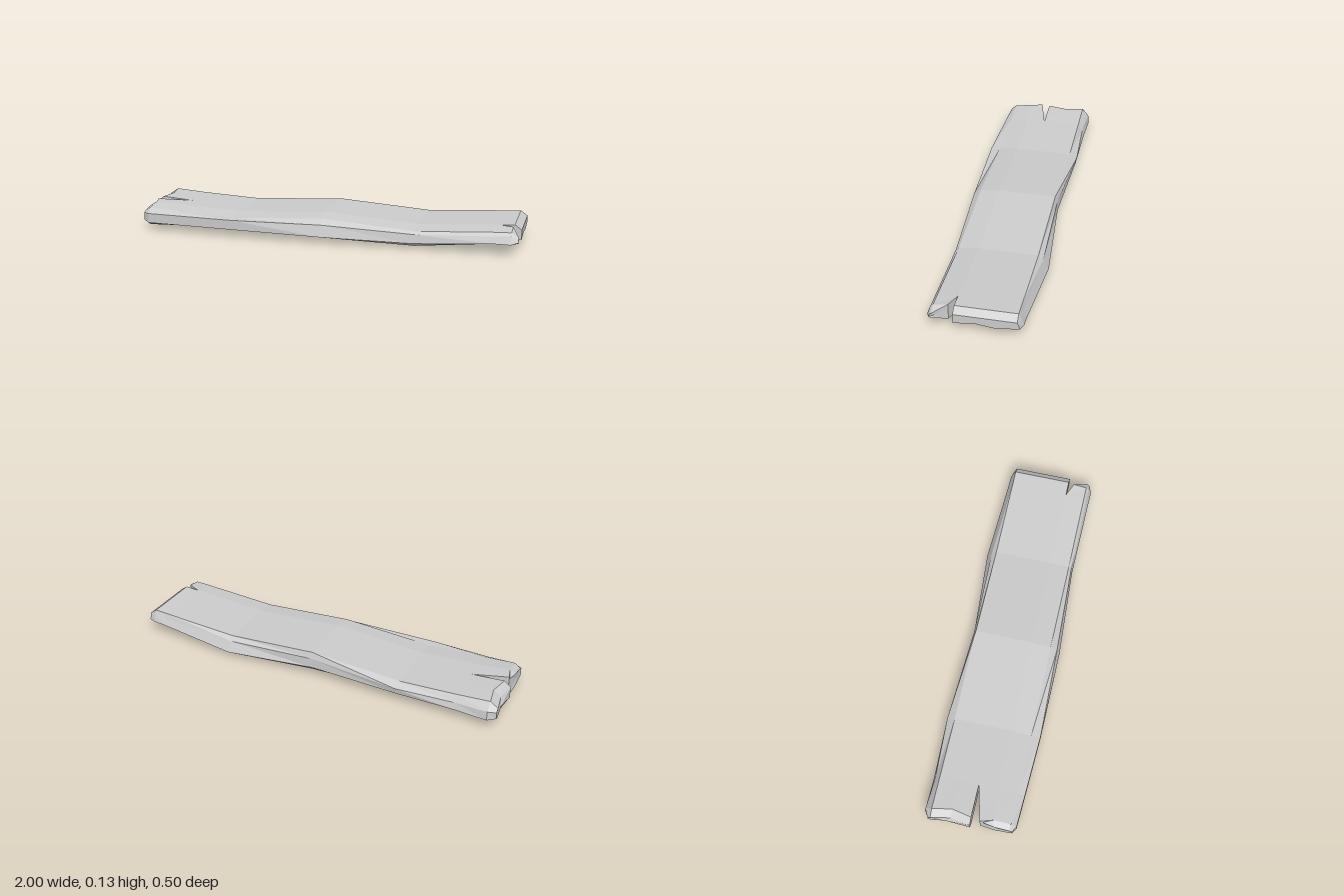
import * as THREE from 'three';

const material = new THREE.MeshStandardMaterial({ color: 0xcccccc, flatShading: true });

// One cross-section at x: columns [z], top and bottom heights, then optional
// side points [z, y] (upper, lower) for the front and back edges.
function ring(x, top, bot, cols, front, back, dx = []) {
  const at = (i) => x + (dx[i] || 0);
  const last = cols.length - 1;
  const topY = (z) => top - (z > 0.15 ? 0.012 : 0);
  const botY = (z) => bot + (Math.abs(z) > 0.15 || Math.abs(z) < 0.04 ? 0.013 : 0);
  const pts = cols.map((z, i) => [at(i), topY(z), z]);
  (front || []).forEach(([z, y]) => pts.push([at(last), y, z]));
  for (let i = last; i >= 0; i--) pts.push([at(i), botY(cols[i]), cols[i]]);
  [...(back || [])].reverse().forEach(([z, y]) => pts.push([at(0), y, z]));
  return pts;
}

// Skin rings running towards +x, with optional caps on either end.
function loft(name, rings, capStart, capEnd) {
  const pos = [];
  const tri = (a, b, c) => pos.push(...a, ...b, ...c);
  const n = rings[0].length;
  for (let r = 0; r < rings.length - 1; r++) {
    for (let j = 0; j < n; j++) {
      const k = (j + 1) % n, a = rings[r], b = rings[r + 1];
      tri(a[j], a[k], b[k]);
      tri(a[j], b[k], b[j]);
    }
  }
  const cap = (pts, flip) => {
    const mid = [0, 1, 2].map((i) => pts.reduce((s, p) => s + p[i], 0) / n);
    pts.forEach((p, j) => {
      const q = pts[(j + 1) % n];
      if (flip) tri(mid, q, p); else tri(mid, p, q);
    });
  };
  if (capStart) cap(rings[0], true);
  if (capEnd) cap(rings[rings.length - 1], false);
  const geo = new THREE.BufferGeometry();
  geo.setAttribute('position', new THREE.Float32BufferAttribute(pos, 3));
  geo.computeVertexNormals();
  const mesh = new THREE.Mesh(geo, material);
  mesh.name = name;
  return mesh;
}

export function createModel() {
  const plank = new THREE.Group();
  plank.name = 'splitPlank';
  const cols = [-0.2, -0.1, 0, 0.1, 0.2];

  // Edge profiles where the split ends join the board
  const leftFront = [[0.235, 0.09], [0.235, 0.04]];
  const leftBack = [[-0.225, 0.085], [-0.235, 0.05]];
  const rightFront = [[0.215, 0.095], [0.228, 0.06]];
  const rightBack = [[-0.21, 0.1], [-0.228, 0.065]];

  // Warped board
  plank.add(loft('board', [
    ring(-0.79, 0.118, 0.017, cols, leftFront, leftBack),
    ring(-0.48, 0.103, 0.03, cols, [[0.248, 0.09], [0.248, 0.04]], [[-0.24, 0.08], [-0.235, 0.05]]),
    ring(0, 0.132, 0.02, cols, [[0.235, 0.095], [0.25, 0.035]], [[-0.212, 0.1], [-0.215, 0.05]]),
    ring(0.48, 0.1, 0, cols, [[0.215, 0.075], [0.222, 0.03]], [[-0.225, 0.08], [-0.252, 0.026]]),
    ring(0.89, 0.125, 0.042, cols, rightFront, rightBack),
  ], false, false));

  // Left end, split in two
  plank.add(loft('leftBackProng', [
    ring(-1, 0.103, 0.03, [-0.2, -0.1, 0], [], [[-0.215, 0.085], [-0.215, 0.05]], [0, 0.02, 0.005]),
    ring(-0.96, 0.13, 0.008, [-0.2, -0.1, 0], [], [[-0.235, 0.09], [-0.24, 0.045]], [0, 0.02, 0]),
    ring(-0.79, 0.118, 0.017, [-0.2, -0.1, 0], [], leftBack),
  ], true, false));
  plank.add(loft('leftFrontProng', [
    ring(-0.98, 0.11, 0.03, [0.06, 0.12, 0.195], [[0.21, 0.09], [0.21, 0.05]], [], [0.01, 0, 0]),
    ring(-0.95, 0.128, 0.012, [0.045, 0.11, 0.2], [[0.228, 0.09], [0.228, 0.04]], [], [-0.02, 0, 0]),
    ring(-0.79, 0.118, 0.017, [0, 0.1, 0.2], leftFront, []),
  ], true, false));

  // Right end with a shorter split near the front
  const wide = [-0.2, -0.1, 0, 0.1];
  plank.add(loft('rightBackProng', [
    ring(0.89, 0.125, 0.042, wide, [], rightBack),
    ring(0.965, 0.13, 0.047, wide, [], [[-0.212, 0.105], [-0.225, 0.07]]),
    ring(1, 0.105, 0.055, wide, [], [[-0.205, 0.095], [-0.212, 0.07]]),
  ], false, true));
  plank.add(loft('rightFrontProng', [
    ring(0.89, 0.125, 0.042, [0.1, 0.2], rightFront, []),
    ring(0.96, 0.127, 0.045, [0.13, 0.2], [[0.215, 0.1], [0.23, 0.06]], []),
    ring(0.995, 0.105, 0.05, [0.15, 0.2], [[0.21, 0.085], [0.216, 0.07]], [], [-0.025, 0]),
  ], false, true));

  return plank;
}
